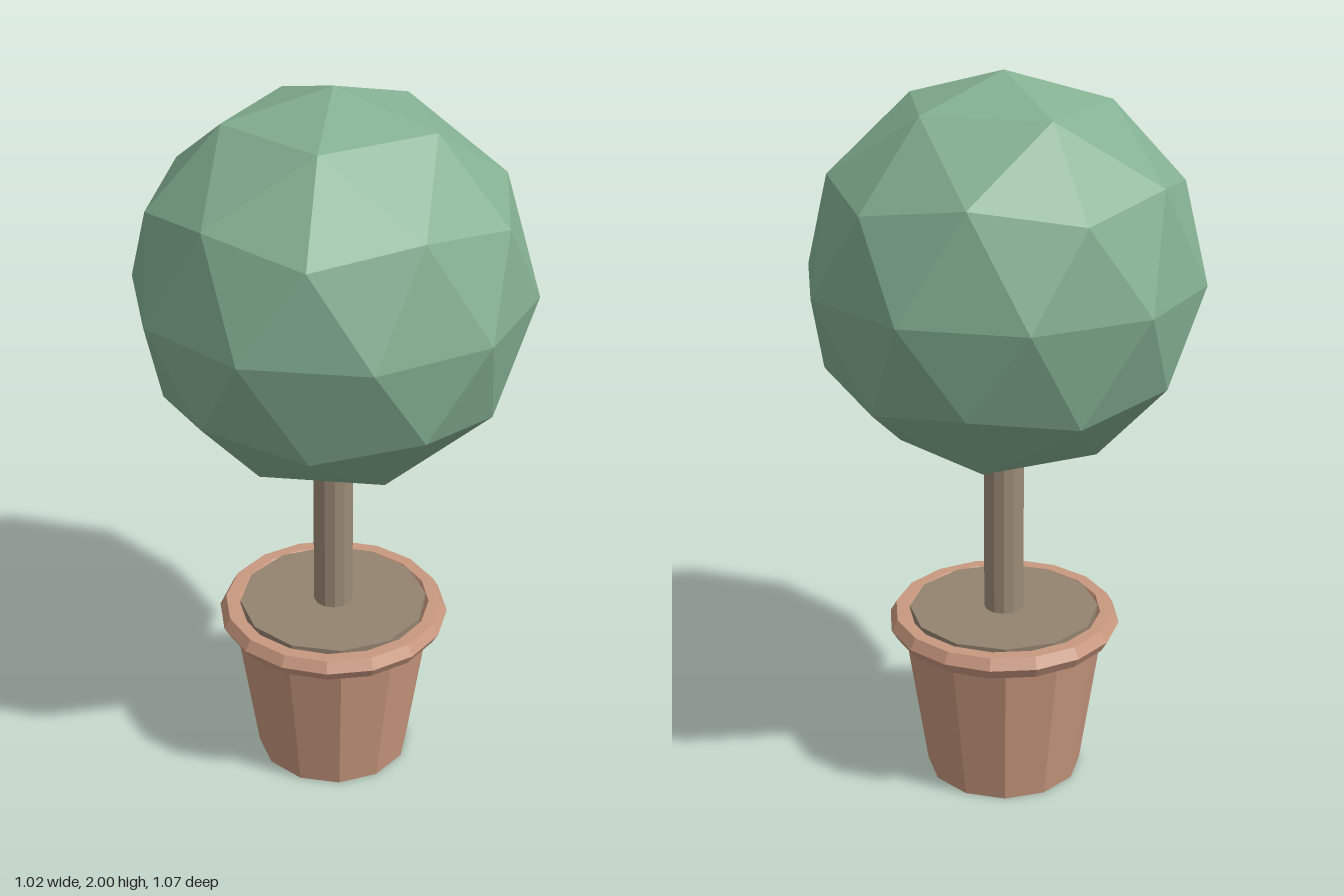
import * as THREE from 'three';

const material = (name, color) => {
  const m = new THREE.MeshStandardMaterial({ color, flatShading: true });
  m.name = name;
  return m;
};

export function createModel() {
  const group = new THREE.Group();
  group.name = 'pottedTopiary';
  const terracotta = material('terracotta', 0xc9987f);
  const soilBrown = material('soilBrown', 0x94836f);
  const bark = material('bark', 0x9c8b77);
  const leafGreen = material('leafGreen', 0x84b092);

  const add = (name, geometry, mat, y) => {
    const mesh = new THREE.Mesh(geometry, mat);
    mesh.name = name;
    mesh.position.y = y;
    group.add(mesh);
    return mesh;
  };

  // Tapered twelve-sided pot
  add('pot', new THREE.CylinderGeometry(0.287, 0.22, 0.46, 12), terracotta, 0.23);

  // Hexagonal-section rim
  const rim = new THREE.TorusGeometry(0.29, 0.035, 6, 16);
  rim.rotateX(-Math.PI / 2);
  add('rim', rim, terracotta, 0.462);

  // Soil disc just above the rim
  add('soil', new THREE.CylinderGeometry(0.265, 0.265, 0.05, 12), soilBrown, 0.472);

  // Trunk running up into the foliage
  add('trunk', new THREE.CylinderGeometry(0.055, 0.055, 0.56, 12), bark, 0.76);

  // Faceted ball, turned so that a corner points straight up
  const ball = new THREE.IcosahedronGeometry(0.534, 1);
  ball.rotateZ(-Math.atan(2 / (1 + Math.sqrt(5))));
  add('foliage', ball, leafGreen, 1.466);

  return group;
}
